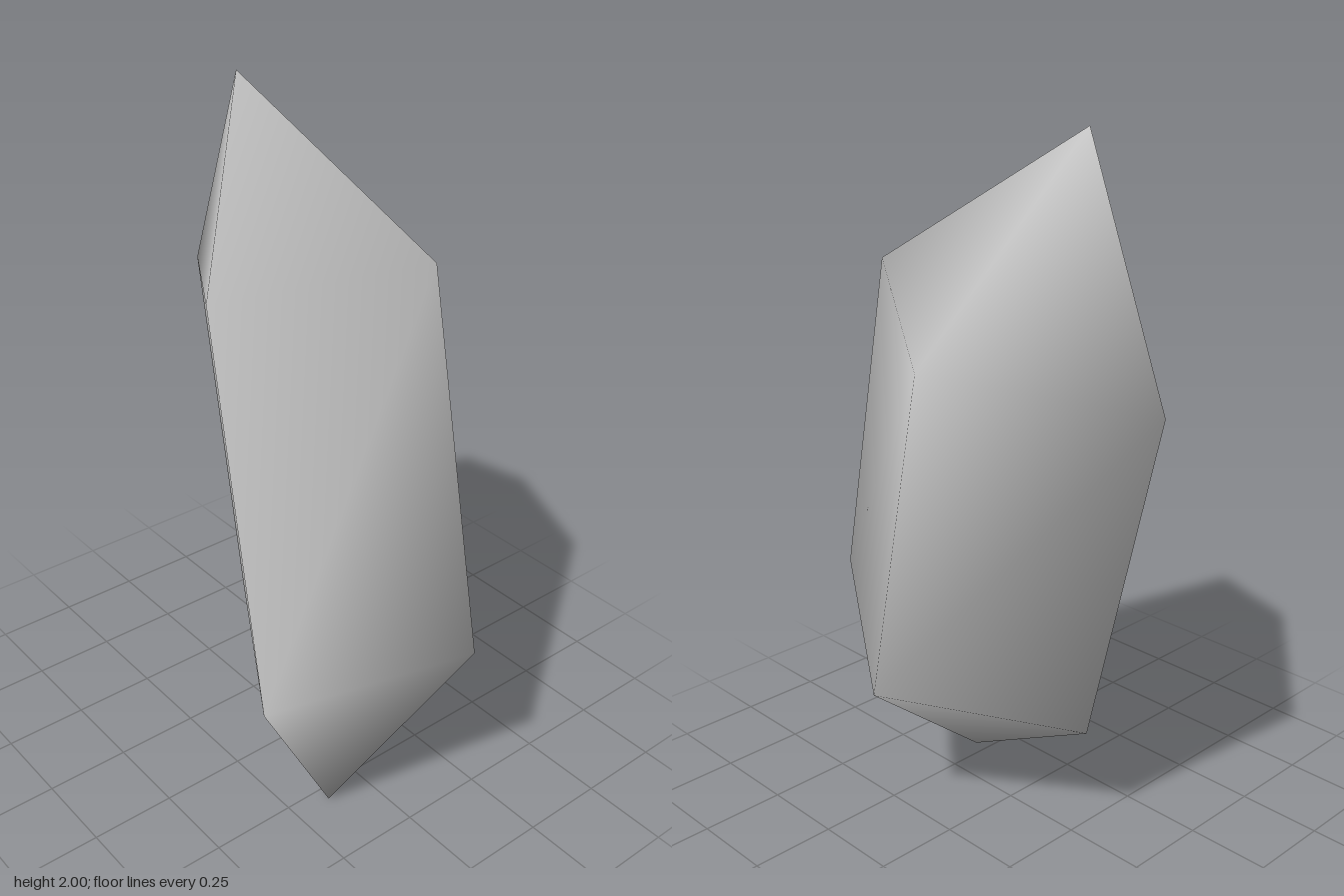
import * as THREE from 'three';

// Leaning crystal: a four-sided prism (pentagon with one corner cut off) with a point at each end
export function createModel() {
  const group = new THREE.Group();
  const stone = new THREE.MeshStandardMaterial({ color: 0xcccccc });
  stone.name = 'paleGreyStone';
  stone.side = THREE.DoubleSide;

  // lower cross-section, and the leaning axis that carries it to the upper one
  const axis = new THREE.Vector3(0.07, 1, -0.29);
  const lower = [
    [-0.49, 0.62, 0.46], [0.1, 0.62, 0.61], [0.415, 0.46, 0.12], [0.02, 0.36, -0.32],
  ].map((p) => new THREE.Vector3(...p));
  const upper = lower.map((p) => p.clone().add(axis));
  const points = [...lower, ...upper,
    new THREE.Vector3(-0.135, 0, 0.295), new THREE.Vector3(0.005, 2, -0.275)];

  // side walls and the two pointed caps, sharing vertices for smooth normals
  const n = lower.length, bottomTip = 2 * n, topTip = 2 * n + 1;
  const index = [];
  for (let i = 0; i < n; i++) {
    const j = (i + 1) % n;
    index.push(i, j, n + j, i, n + j, n + i);
    index.push(n + i, n + j, topTip);
    index.push(j, i, bottomTip);
  }

  const geometry = new THREE.BufferGeometry().setFromPoints(points);
  geometry.setIndex(index);
  geometry.computeVertexNormals();

  const crystal = new THREE.Mesh(geometry, stone);
  crystal.name = 'crystal';
  group.add(crystal);
  return group;
}
